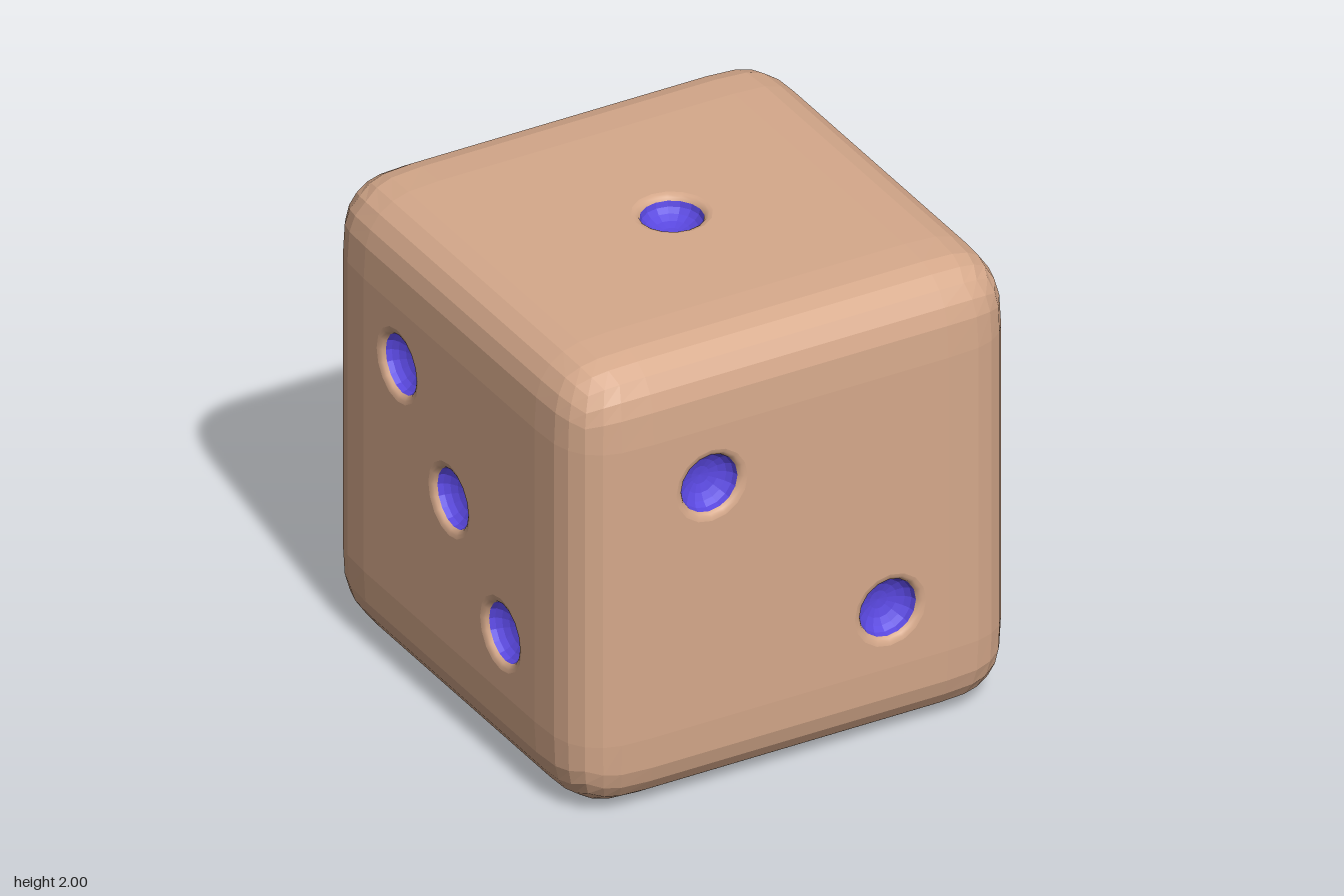
import * as THREE from 'three';

const CORE = 0.66;      // half width of the flat middle of each face
const EDGE = 1 - CORE;  // reach of the rounded edge
const PIP = 0.127;      // radius of the coloured hollow
const LIP = 0.16;       // radius where the face starts to dip
const SIDES = 16;

const bodyFlat = new THREE.MeshStandardMaterial({ color: 0xd6a98b, flatShading: true });
const bodySmooth = new THREE.MeshStandardMaterial({ color: 0xd6a98b });
const pipMat = new THREE.MeshStandardMaterial({ color: 0x5a48e0, flatShading: true });

// Pulls a point of the sharp cube onto the softly rounded one
function roundPoint(p) {
  const core = p.clone().clampScalar(-CORE, CORE);
  const d = p.clone().sub(core);
  const len = Math.cbrt(Math.abs(d.x) ** 3 + Math.abs(d.y) ** 3 + Math.abs(d.z) ** 3);
  return core.addScaledVector(d, EDGE / len);
}

// Faceted rounded border around one face, without the flat middle
function borderGeometry() {
  const half = [CORE, CORE + EDGE * 0.42, CORE + EDGE * 0.68, 1];
  const cuts = [...half.map(v => -v).reverse(), ...half];
  const n = cuts.length, mid = half.length - 1;
  const positions = [], index = [];
  for (const y of cuts)
    for (const x of cuts) positions.push(...roundPoint(new THREE.Vector3(x, y, 1)).toArray());
  for (let j = 0; j < n - 1; j++) {
    for (let i = 0; i < n - 1; i++) {
      if (i === mid && j === mid) continue;
      const a = j * n + i;
      index.push(a, a + 1, a + n + 1, a, a + n + 1, a + n);
    }
  }
  const g = new THREE.BufferGeometry();
  g.setAttribute('position', new THREE.Float32BufferAttribute(positions, 3));
  g.setIndex(index);
  g.computeVertexNormals();
  return g;
}

// Flat middle of a face with a round hole for each pip
function panelGeometry(pips) {
  const s = new THREE.Shape();
  s.moveTo(-CORE, -CORE).lineTo(CORE, -CORE).lineTo(CORE, CORE).lineTo(-CORE, CORE).closePath();
  for (const [x, y] of pips)
    s.holes.push(new THREE.Path().absarc(x, y, LIP, 0, Math.PI * 2, true));
  return new THREE.ShapeGeometry(s, SIDES / 2).translate(0, 0, 1);
}

// Turned shape facing +z, profile listed from the rim inward
function turned(points) {
  return new THREE.LatheGeometry(points.map(p => new THREE.Vector2(...p)), SIDES).rotateX(Math.PI / 2);
}

const lipGeometry = turned([[LIP, 0], [0.146, -0.003], [0.134, -0.01], [PIP, -0.022]]);
const bowlProfile = [];
for (let i = 0; i <= 5; i++) {
  const a = (i / 5) * Math.PI / 2;
  bowlProfile.push([PIP * Math.cos(a), -0.022 - 0.075 * Math.sin(a)]);
}
const bowlGeometry = turned(bowlProfile);

export function createModel() {
  const model = new THREE.Group();
  model.name = 'die';
  const q = Math.PI / 2, d = 0.4;
  const two = [[-d, d], [d, -d]];
  const four = [...two, [d, d], [-d, -d]];
  const faces = [
    ['front', 0, 0, two],
    ['right', 0, q, four],
    ['back', 0, 2 * q, [...four, [0, 0]]],
    ['left', 0, -q, [...two, [0, 0]]],
    ['top', -q, 0, [[0, 0]]],
    ['bottom', q, 0, [...four, [-d, 0], [d, 0]]],
  ];
  const border = borderGeometry();

  for (const [name, rx, ry, pips] of faces) {
    const face = new THREE.Group();
    face.name = name + 'Face';
    const add = (part, geometry, material, x = 0, y = 0, z = 0) => {
      const mesh = new THREE.Mesh(geometry, material);
      mesh.name = part;
      mesh.position.set(x, y, z);
      face.add(mesh);
    };
    add('roundedBorder', border, bodyFlat);
    add('panel', panelGeometry(pips), bodySmooth);
    for (const [x, y] of pips) {
      add('pipLip', lipGeometry, bodySmooth, x, y, 1);
      add('pip', bowlGeometry, pipMat, x, y, 1);
    }
    face.rotation.set(rx, ry, 0);
    face.position.y = 1;
    model.add(face);
  }
  return model;
}
